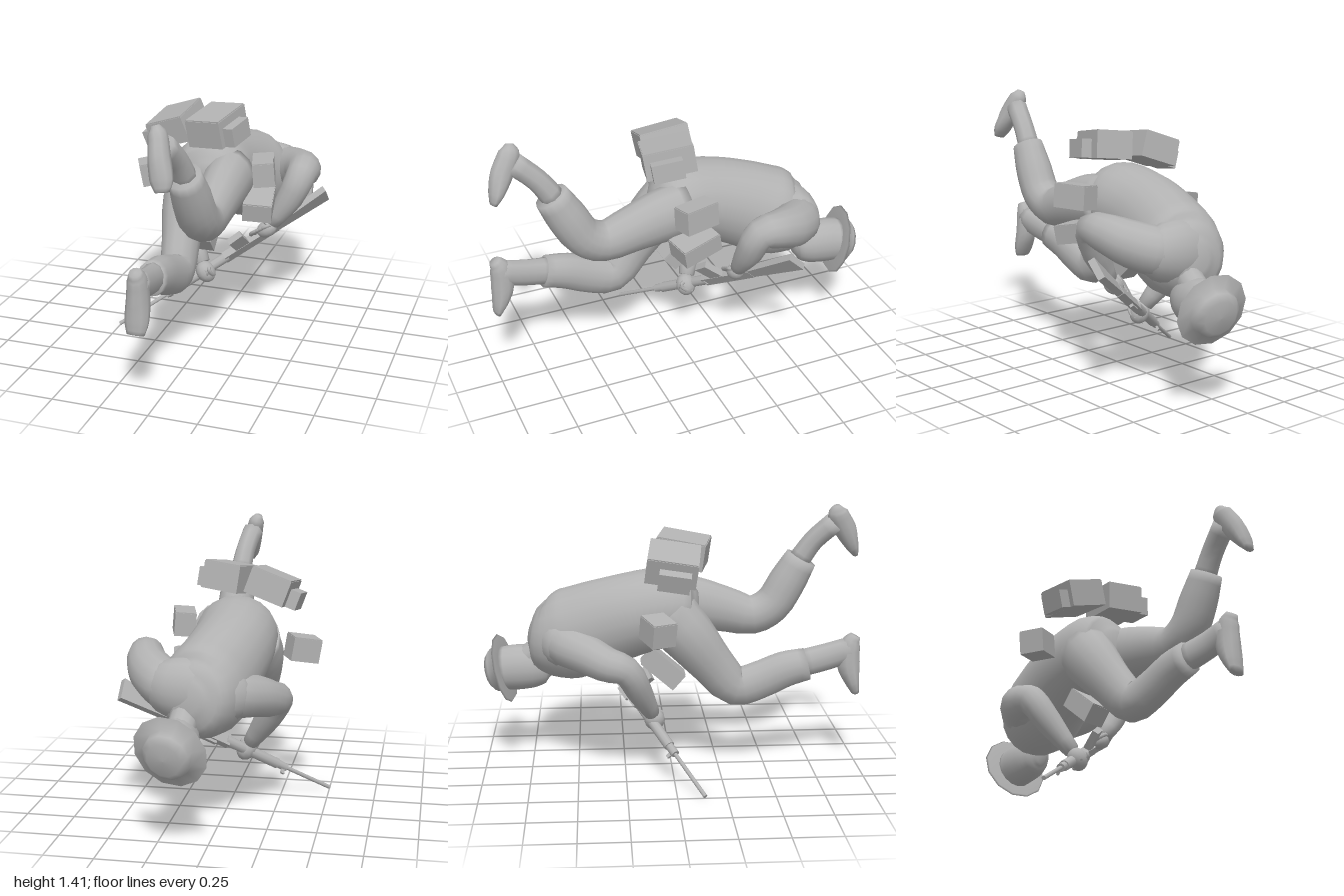
import * as THREE from 'three';

const V = (x, y, z) => new THREE.Vector3(x, y, z);
const grey = new THREE.MeshStandardMaterial({ color: 0xb2b2b2 });
grey.name = 'plain grey';

function add(parent, name, geometry, pos, rot, scale) {
  const m = new THREE.Mesh(geometry, grey);
  m.name = name;
  if (pos) m.position.set(...pos);
  if (rot) m.rotation.set(...rot.map(THREE.MathUtils.degToRad));
  if (scale) m.scale.set(...scale);
  parent.add(m);
  return m;
}

// Closed smooth skin through rings [x, y, z, rSide, rUp]
function loft(rings, ref = V(1, 0, 0), sides = 14, sub = 3) {
  const path = new THREE.CatmullRomCurve3(rings.map(r => V(r[0], r[1], r[2])));
  const radii = new THREE.CatmullRomCurve3(rings.map(r => V(r[3], r[4] ?? r[3], 0)));
  const n = (rings.length - 1) * sub, pos = [], idx = [];
  for (let i = 0; i <= n; i++) {
    const p = path.getPoint(i / n), t = path.getTangent(i / n), r = radii.getPoint(i / n);
    const side = ref.clone().cross(t).normalize(), up = t.clone().cross(side);
    for (let j = 0; j < sides; j++) {
      const a = j / sides * Math.PI * 2;
      const v = p.clone().addScaledVector(side, r.x * Math.cos(a)).addScaledVector(up, r.y * Math.sin(a));
      pos.push(v.x, v.y, v.z);
      if (i < n) {
        const k = (j + 1) % sides, a0 = i * sides, b0 = a0 + sides;
        idx.push(a0 + j, a0 + k, b0 + k, a0 + j, b0 + k, b0 + j);
      }
    }
  }
  // end caps
  const s = pos.length / 3;
  pos.push(...rings[0].slice(0, 3), ...rings[rings.length - 1].slice(0, 3));
  for (let j = 0; j < sides; j++) {
    const k = (j + 1) % sides;
    idx.push(s, k, j, s + 1, n * sides + j, n * sides + k);
  }
  const g = new THREE.BufferGeometry();
  g.setAttribute('position', new THREE.Float32BufferAttribute(pos, 3));
  g.setIndex(idx);
  g.computeVertexNormals();
  return g;
}

// Equipment box with a thin lid and an optional side pocket
function pouch(parent, name, size, pos, rot, pocket) {
  const g = new THREE.Group(), [w, h, d] = size;
  g.name = name;
  g.position.set(...pos);
  g.rotation.set(...rot.map(THREE.MathUtils.degToRad));
  add(g, 'pouchBody', new THREE.BoxGeometry(w, h, d));
  add(g, 'pouchLid', new THREE.BoxGeometry(w * 0.97, 0.008, d * 0.97), [0, h / 2 + 0.002, 0]);
  if (pocket) add(g, 'sidePocket', new THREE.BoxGeometry(0.06, h * 0.7, d * 0.62), [pocket * (w / 2 + 0.025), -0.02, 0.02]);
  parent.add(g);
}

function buildRifle() {
  const rifle = new THREE.Group();
  rifle.name = 'rifle';
  const start = V(-0.5, 0.012, 0.14), d = V(0.495, 0.672, -0.475).sub(start), len = d.length();
  d.normalize();
  const z = d.clone().cross(V(0, -0.69, -0.72)).normalize(), y = z.clone().cross(d);
  rifle.setRotationFromMatrix(new THREE.Matrix4().makeBasis(d, y, z));
  rifle.position.copy(start);
  const rod = (name, a, b, r, s = 10) => add(rifle, name, new THREE.CylinderGeometry(r, r, b - a, s), [(a + b) / 2, 0, 0], [0, 0, -90]);
  rod('barrel', 0, 0.36, 0.011, 8);
  rod('gasBlock', 0.3, 0.38, 0.022);
  rod('handguard', 0.36, 0.7, 0.028);
  add(rifle, 'frontSight', new THREE.BoxGeometry(0.02, 0.04, 0.012), [0.32, 0.025, 0]);
  add(rifle, 'receiver', new THREE.BoxGeometry(0.34, 0.066, 0.04), [0.85, 0, 0]);
  add(rifle, 'rearSight', new THREE.BoxGeometry(0.09, 0.02, 0.02), [0.8, 0.038, 0]);
  add(rifle, 'magazine', new THREE.BoxGeometry(0.085, 0.125, 0.036), [0.79, -0.085, 0], [0, 0, -8]);
  add(rifle, 'grip', new THREE.BoxGeometry(0.04, 0.09, 0.034), [0.97, -0.065, 0], [0, 0, 20]);
  const s = new THREE.Shape([[1.0, -0.033], [len, -0.075], [len, 0.04], [1.0, 0.03]].map(p => new THREE.Vector2(...p)));
  add(rifle, 'stock', new THREE.ExtrudeGeometry(s, { depth: 0.036, bevelEnabled: false }), [0, 0, -0.018]);
  return rifle;
}

export function createModel() {
  const model = new THREE.Group();
  model.name = 'crouchingSoldier';
  const Y = V(0, 1, 0);

  // Torso, from seat to shoulders
  add(model, 'torso', loft([
    [0, 0.88, 0.14, 0.07, 0.08], [0, 0.88, 0.08, 0.18, 0.17], [-0.015, 0.885, -0.02, 0.215, 0.21],
    [-0.018, 0.85, -0.2, 0.213, 0.22], [0.01, 0.79, -0.38, 0.212, 0.235], [0.045, 0.735, -0.52, 0.22, 0.245],
    [0.075, 0.715, -0.63, 0.2, 0.215], [0.1, 0.72, -0.7, 0.15, 0.155], [0.11, 0.725, -0.74, 0.07, 0.07],
  ], Y, 20));
  // Shoulder span that joins the arms to the neck
  add(model, 'shoulders', loft([
    [-0.16, 0.7, -0.5, 0.04, 0.05], [-0.1, 0.71, -0.55, 0.115, 0.125], [0, 0.725, -0.595, 0.13, 0.16],
    [0.12, 0.74, -0.61, 0.133, 0.165], [0.23, 0.755, -0.59, 0.128, 0.14], [0.31, 0.78, -0.52, 0.05, 0.06],
  ], Y, 18));

  // Neck and head
  add(model, 'neck', loft([[0.11, 0.71, -0.63, 0.07], [0.12, 0.63, -0.7, 0.07], [0.13, 0.57, -0.78, 0.07]], Y));
  add(model, 'head', loft([
    [0.13, 0.515, -0.635, 0.03, 0.04], [0.13, 0.52, -0.66, 0.07, 0.085], [0.135, 0.525, -0.73, 0.097, 0.115],
    [0.14, 0.525, -0.82, 0.106, 0.125], [0.15, 0.515, -0.91, 0.105, 0.118],
  ], Y, 16));

  // Brimmed hat
  const profile = [[0.1, -0.028], [0.18, -0.028], [0.188, -0.02], [0.125, -0.005], [0.118, 0.035], [0.085, 0.063], [0, 0.068]];
  const hat = add(model, 'hat', new THREE.LatheGeometry(profile.map(p => new THREE.Vector2(...p)), 12), [0.152, 0.512, -0.914]);
  hat.quaternion.setFromUnitVectors(Y, V(0.18, -0.24, -0.95).normalize());

  // Arms
  add(model, 'leftArm', loft([
    [0.18, 0.75, -0.63, 0.09], [0.24, 0.76, -0.595, 0.122], [0.32, 0.79, -0.51, 0.116], [0.375, 0.825, -0.41, 0.1],
    [0.395, 0.835, -0.3, 0.082], [0.34, 0.7, -0.265, 0.072], [0.25, 0.555, -0.25, 0.042],
  ]));
  add(model, 'rightArm', loft([
    [-0.02, 0.73, -0.61, 0.08], [-0.09, 0.71, -0.555, 0.115], [-0.18, 0.68, -0.45, 0.105], [-0.24, 0.64, -0.35, 0.092],
    [-0.265, 0.61, -0.25, 0.078], [-0.2, 0.48, -0.18, 0.068], [-0.105, 0.33, -0.11, 0.042],
  ]));

  // Hands with curled fingers
  const hand = (name, x, y, z, dir, palm) => {
    const g = new THREE.Group();
    g.name = name;
    add(g, 'palm', new THREE.SphereGeometry(1, 12, 8), [x, y, z], [0, 0, 30], palm);
    for (let i = 0; i < 4; i++) {
      const o = i * 0.017 - 0.025;
      const c = new THREE.CatmullRomCurve3([
        V(x + o, y + 0.02 + o * 0.6, z + 0.025), V(x + o - 0.03 * dir, y + 0.01 + o * 0.6, z + 0.045),
        V(x + o - 0.06 * dir, y - 0.02 + o * 0.6, z + 0.02), V(x + o - 0.05 * dir, y - 0.035 + o * 0.6, z - 0.02)]);
      add(g, 'finger', new THREE.TubeGeometry(c, 6, 0.011, 6));
    }
    model.add(g);
  };
  hand('leftHand', 0.22, 0.515, -0.25, 1, [0.06, 0.045, 0.045]);
  hand('rightHand', -0.08, 0.285, -0.095, -0.3, [0.052, 0.062, 0.055]);

  // Trouser legs
  add(model, 'leftLeg', loft([
    [0.09, 0.895, -0.02, 0.15, 0.125], [0.095, 0.875, 0.12, 0.145, 0.12], [0.1, 0.84, 0.28, 0.125, 0.108], [0.1, 0.805, 0.44, 0.106, 0.1],
    [0.1, 0.86, 0.545, 0.102], [0.095, 0.98, 0.62, 0.102, 0.098], [0.085, 1.115, 0.695, 0.087, 0.08],
  ]));
  add(model, 'rightLeg', loft([
    [-0.1, 0.86, -0.02, 0.155, 0.14], [-0.12, 0.75, 0.08, 0.142, 0.13], [-0.11, 0.59, 0.21, 0.116, 0.1], [-0.09, 0.465, 0.33, 0.104, 0.09],
    [-0.085, 0.495, 0.46, 0.103, 0.082], [-0.085, 0.55, 0.59, 0.098, 0.08], [-0.085, 0.578, 0.71, 0.088, 0.073],
  ]));

  // Boots: ankle shaft and foot
  add(model, 'leftAnkle', loft([[0.085, 1.1, 0.68, 0.06], [0.07, 1.21, 0.755, 0.056], [0.045, 1.31, 0.86, 0.058]], undefined, 8));
  add(model, 'leftFoot', loft([
    [0.01, 1.4, 0.862, 0.02], [0.025, 1.36, 0.87, 0.055, 0.045], [0.05, 1.27, 0.92, 0.058, 0.052],
    [0.075, 1.18, 0.962, 0.036, 0.055], [0.085, 1.132, 0.982, 0.016, 0.035],
  ], undefined, 10));
  add(model, 'rightAnkle', loft([[-0.08, 0.58, 0.68, 0.075, 0.06], [-0.065, 0.61, 0.82, 0.074, 0.05], [-0.06, 0.645, 0.94, 0.07, 0.052]], undefined, 10));
  add(model, 'rightFoot', loft([
    [-0.06, 0.722, 0.97, 0.03], [-0.06, 0.675, 0.945, 0.055, 0.048], [-0.06, 0.57, 0.938, 0.062, 0.057],
    [-0.06, 0.47, 0.962, 0.04, 0.06], [-0.06, 0.41, 0.98, 0.02, 0.045],
  ], undefined, 10));

  // Belt equipment
  pouch(model, 'rightBackPack', [0.215, 0.135, 0.26], [-0.2, 1.145, -0.005], [8, -5, 20], -1);
  pouch(model, 'leftBackPack', [0.2, 0.14, 0.26], [0.035, 1.175, 0.06], [9, -13, 8], 1);
  pouch(model, 'rightHipPouch', [0.15, 0.118, 0.13], [-0.37, 0.842, -0.09], [0, 25, 10]);
  pouch(model, 'leftHipPouch', [0.11, 0.12, 0.195], [0.27, 0.94, 0], [0, 15, 5]);
  pouch(model, 'leftFrontPouch', [0.15, 0.095, 0.22], [0.245, 0.755, -0.005], [12, 10, -5]);
  pouch(model, 'bellyPouch', [0.12, 0.1, 0.22], [-0.06, 0.565, -0.05], [41, 0, 0]);

  model.add(buildRifle());
  return model;
}
